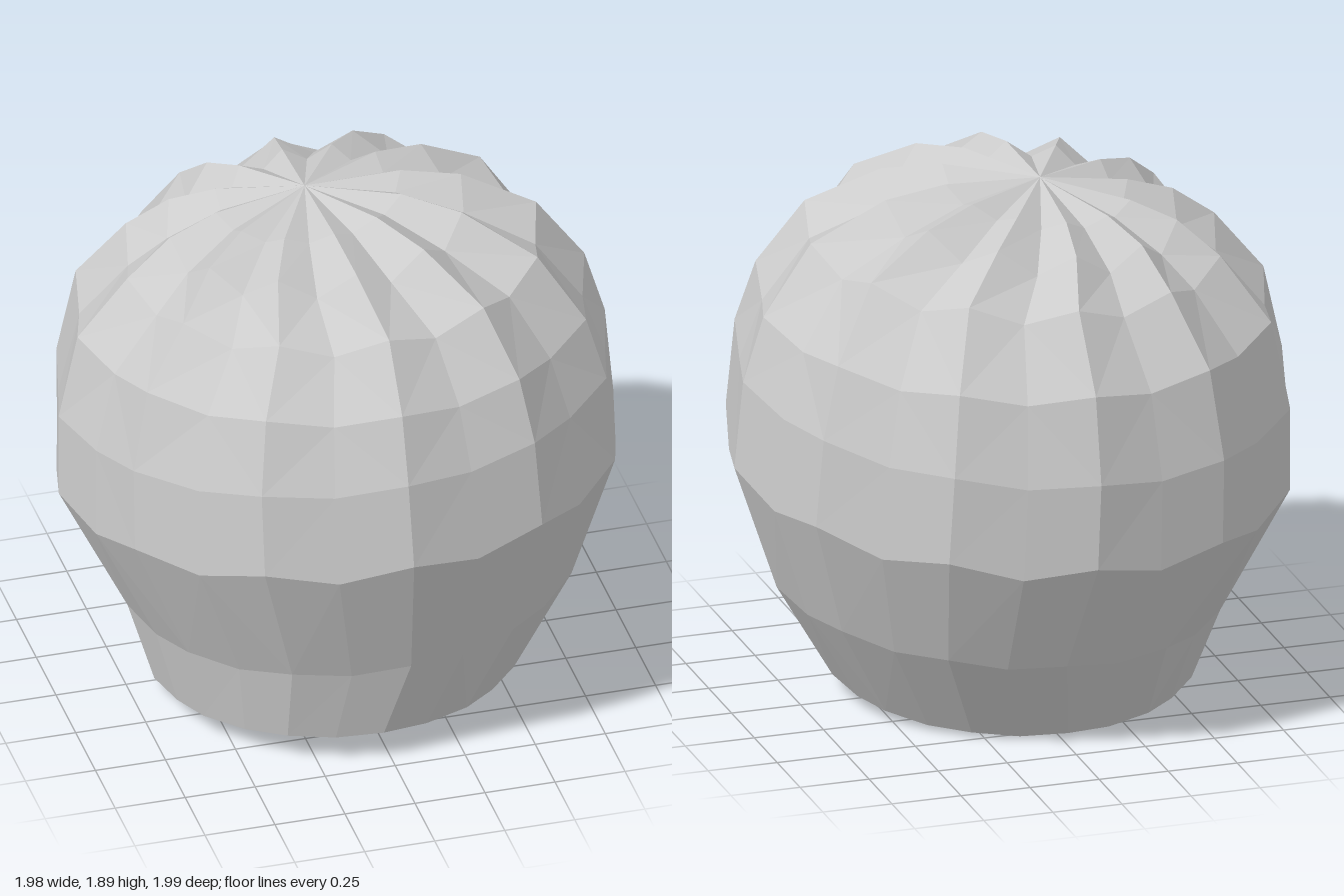
import * as THREE from 'three';

const RIBS = 12;
const SEGMENTS = RIBS * 2;

// Rings from top to bottom:
// centre x, y, z | tilt along x, z | ridge radius | groove inset, groove drop
const BODY_RINGS = [
  [-0.08, 1.85, -0.07, 0.03, 0.03, 0.33, 0.03, 0.04],
  [-0.06, 1.8, -0.05, 0.04, 0.04, 0.52, 0.01, 0.08],
  [-0.01, 1.67, -0.02, 0.03, 0.04, 0.73, 0.03, 0.06],
  [-0.01, 1.44, -0.03, 0.015, 0.06, 0.905, 0.04, 0.04],
  [-0.01, 1.17, -0.02, 0.05, 0.095, 0.975, 0.035, 0.03],
  [0, 0.86, 0, 0.04, 0.095, 0.99, 0.03, 0.05],
  [0.04, 0.385, 0.02, 0.05, 0.05, 0.79, 0.02, 0.02],
  [-0.03, 0.062, 0.075, 0.005, 0.055, 0.64, 0.015, 0.01],
];
const BASE_RINGS = [
  BODY_RINGS[BODY_RINGS.length - 1],
  [-0.06, 0.1, 0.1, 0.005, 0.04, 0.45, 0, 0],
];

// One ribbed cross-section: even points are ridges, odd points are grooves
function ringPoints([cx, cy, cz, tiltX, tiltZ, radius, inset, drop]) {
  const points = [];
  for (let i = 0; i < SEGMENTS; i++) {
    const angle = (i / SEGMENTS) * Math.PI * 2;
    const groove = i % 2;
    const r = radius - groove * inset;
    const x = Math.cos(angle) * r;
    const z = Math.sin(angle) * r;
    points.push([cx + x, cy + (tiltX * x + tiltZ * z) / radius - groove * drop, cz + z]);
  }
  return points;
}

// Skin between successive rings, with optional centre points closing the ends
function skin(rings, startPoint, endPoint) {
  const loops = rings.map(ringPoints);
  const last = loops[loops.length - 1];
  const positions = [];
  const triangle = (a, b, c) => positions.push(...a, ...b, ...c);
  for (let i = 0; i < SEGMENTS; i++) {
    const j = (i + 1) % SEGMENTS;
    if (startPoint) triangle(startPoint, loops[0][j], loops[0][i]);
    for (let k = 0; k < loops.length - 1; k++) {
      const upper = loops[k];
      const lower = loops[k + 1];
      // Split each quad symmetrically about its ridge
      if (i % 2) {
        triangle(upper[i], upper[j], lower[j]);
        triangle(upper[i], lower[j], lower[i]);
      } else {
        triangle(upper[i], upper[j], lower[i]);
        triangle(upper[j], lower[j], lower[i]);
      }
    }
    if (endPoint) triangle(endPoint, last[i], last[j]);
  }
  const geometry = new THREE.BufferGeometry();
  geometry.setAttribute('position', new THREE.Float32BufferAttribute(positions, 3));
  geometry.computeVertexNormals();
  return geometry;
}

export function createModel() {
  const group = new THREE.Group();
  group.name = 'ribbedCactus';
  const material = new THREE.MeshStandardMaterial({ color: 0xcccccc, flatShading: true });

  // Ribbed body with its crown
  const body = new THREE.Mesh(skin(BODY_RINGS, [-0.09, 1.87, -0.08], null), material);
  body.name = 'ribbedBody';
  group.add(body);

  // Recessed underside
  const base = new THREE.Mesh(skin(BASE_RINGS, null, [-0.06, 0.1, 0.1]), material);
  base.name = 'recessedBase';
  group.add(base);

  return group;
}
